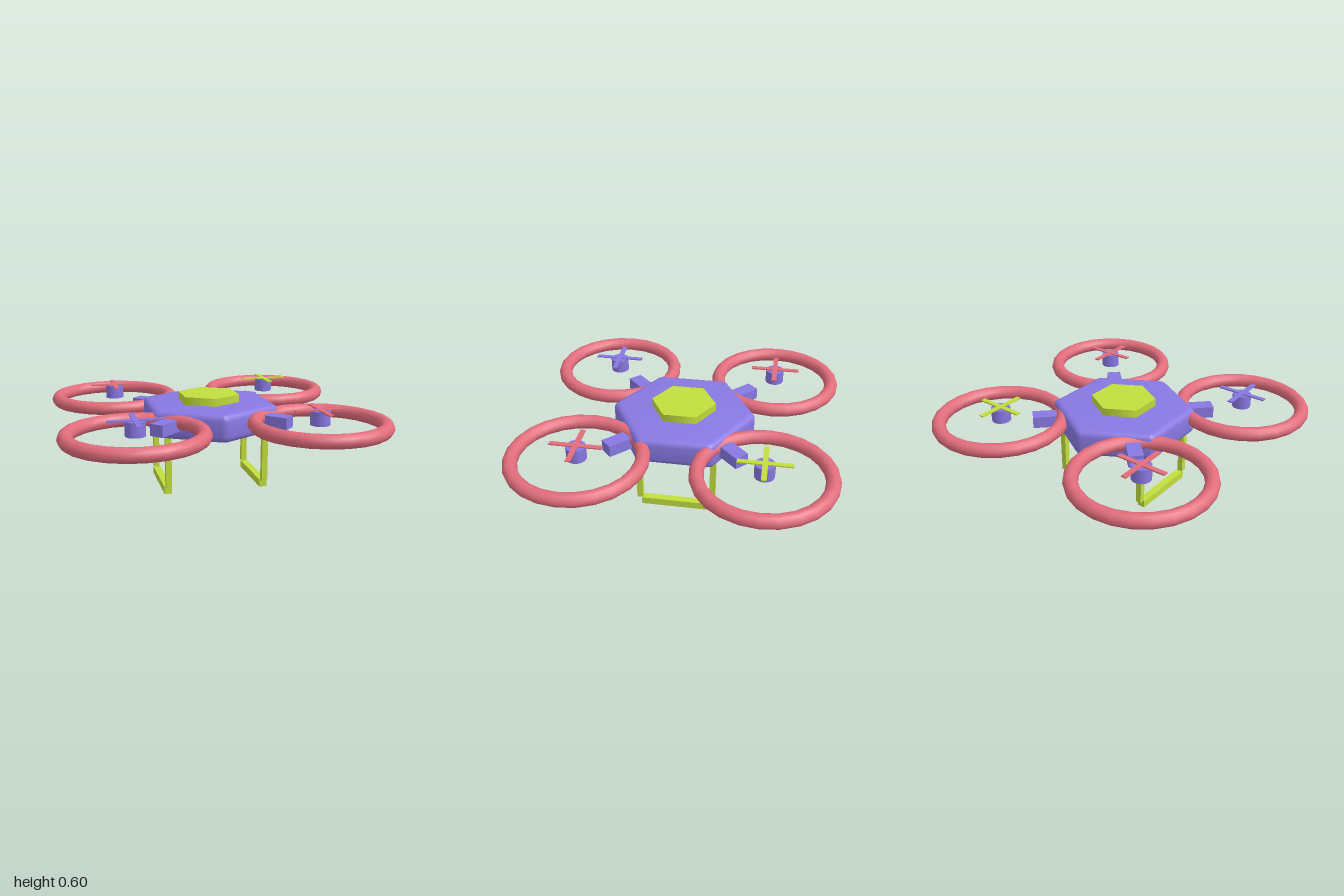
import * as THREE from 'three';
import { toCreasedNormals } from 'three/addons/utils/BufferGeometryUtils.js';

const paint = (color) => new THREE.MeshStandardMaterial({ color });
const purple = paint(0x8878e2);
const red = paint(0xe26d7c);
const green = paint(0xc2de3e);

function add(parent, name, geometry, material, x = 0, y = 0, z = 0) {
  const mesh = new THREE.Mesh(geometry, material);
  mesh.name = name;
  mesh.position.set(x, y, z);
  parent.add(mesh);
  return mesh;
}

// Hexagonal hull with softened corners and rounded rims
function hullGeometry() {
  const shape = new THREE.Shape();
  const cornerRadius = 0.41;
  for (let i = 0; i < 6; i++) {
    const a = Math.PI / 2 + (i * Math.PI) / 3;
    shape.absarc(cornerRadius * Math.cos(a), cornerRadius * Math.sin(a), 0.01, a - Math.PI / 6, a + Math.PI / 6, false);
  }
  const geometry = new THREE.ExtrudeGeometry(shape, {
    depth: 0.096, bevelSize: 0.04, bevelThickness: 0.04, bevelSegments: 4, curveSegments: 4,
  });
  geometry.rotateX(-Math.PI / 2);
  return toCreasedNormals(geometry, 0.6);
}

// Motor, crossed blades and guard ring
function rotor(name, x, z, bladeMaterial) {
  const group = new THREE.Group();
  group.name = name;
  group.position.set(x, 0, z);
  add(group, 'motor', new THREE.CylinderGeometry(0.061, 0.061, 0.088, 16), purple, 0, 0.531, 0);
  add(group, 'bladeAcross', new THREE.BoxGeometry(0.324, 0.008, 0.032), bladeMaterial, 0, 0.578, 0);
  add(group, 'bladeAlong', new THREE.BoxGeometry(0.032, 0.008, 0.324), bladeMaterial, 0, 0.578, 0);
  const ring = new THREE.TorusGeometry(0.395, 0.044, 12, 24).rotateX(Math.PI / 2);
  add(group, 'guardRing', ring, red, 0, 0.489, 0);
  return group;
}

export function createModel() {
  const model = new THREE.Group();
  model.name = 'drone';

  add(model, 'body', hullGeometry(), purple, 0, 0.414, 0);

  // Raised hexagonal cover
  add(model, 'topPlate', new THREE.CylinderGeometry(0.208, 0.208, 0.06, 6), green, 0, 0.57, 0);

  // Diagonal arms and rotors
  const corners = [
    ['frontLeft', 1, 1, red], ['frontRight', -1, 1, purple],
    ['backLeft', 1, -1, green], ['backRight', -1, -1, red],
  ];
  for (const [name, sx, sz, bladeMaterial] of corners) {
    const arm = add(model, name + 'Arm', new THREE.BoxGeometry(0.092, 0.075, 0.34), purple, sx * 0.297, 0.472, sz * 0.297);
    arm.rotation.y = Math.atan2(sx, sz);
    model.add(rotor(name + 'Rotor', sx * 0.558, sz * 0.558, bladeMaterial));
  }

  // Landing gear: two struts and a skid on each side
  for (const [side, sx] of [['left', 1], ['right', -1]]) {
    const gear = new THREE.Group();
    gear.name = side + 'LandingGear';
    gear.position.x = sx * 0.316;
    add(gear, 'skid', new THREE.BoxGeometry(0.048, 0.048, 0.446), green, 0, 0.024, 0);
    for (const sz of [1, -1]) {
      add(gear, sz > 0 ? 'frontStrut' : 'backStrut', new THREE.BoxGeometry(0.037, 0.35, 0.037), green, 0, 0.223, sz * 0.236);
    }
    model.add(gear);
  }
  return model;
}
